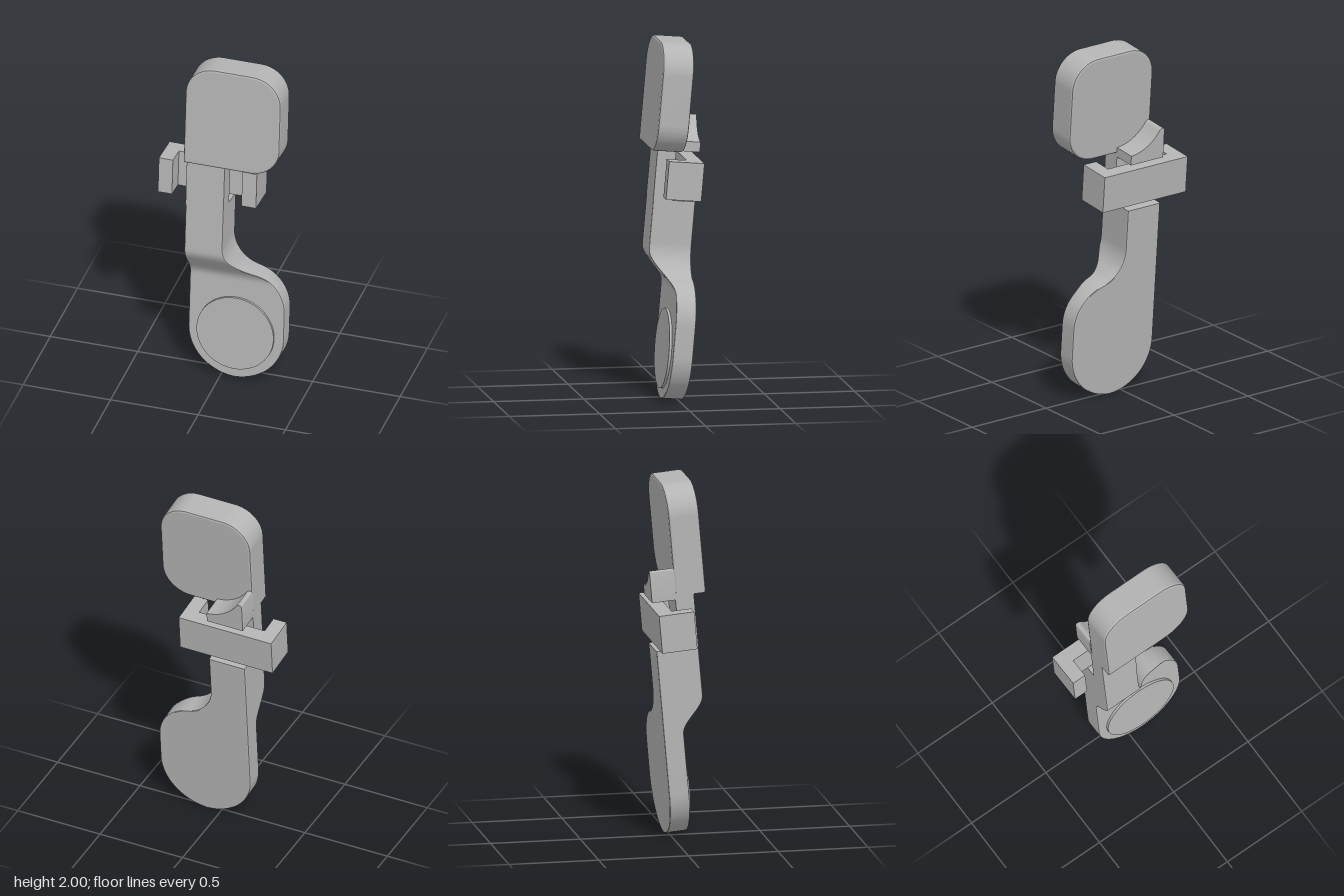
import * as THREE from 'three';
import { toCreasedNormals } from 'three/addons/utils/BufferGeometryUtils.js';

const LEFT = -0.19, RIGHT = 0.355, STEM = 0.027, BACK = -0.02, NOTCH = 0.11;

// Solid through bevelled rectangular sections; each row is [y, x0, x1, z0, z1]
function loft(rows, bevel) {
  const pos = [], idx = [], n = 12;
  for (const [y, x0, x1, z0, z1] of rows) {
    const r = Math.min(bevel, (x1 - x0) * 0.45);
    const corners = [[x1 - r, z1 - r], [x0 + r, z1 - r], [x0 + r, z0 + r], [x1 - r, z0 + r]];
    corners.forEach(([cx, cz], q) => {
      for (let k = 0; k < 3; k++) {
        const a = (q + k / 2) * Math.PI / 2;
        pos.push(cx + r * Math.cos(a), y, cz + r * Math.sin(a));
      }
    });
  }
  const top = (rows.length - 1) * n;
  for (let j = 0; j < rows.length - 1; j++) {
    for (let i = 0; i < n; i++) {
      const a = j * n + i, b = j * n + (i + 1) % n;
      idx.push(a, a + n, b, b, a + n, b + n);
    }
  }
  for (let i = 1; i < n - 1; i++) idx.push(0, i, i + 1, top, top + i + 1, top + i);
  const g = new THREE.BufferGeometry();
  g.setAttribute('position', new THREE.Float32BufferAttribute(pos, 3));
  g.setIndex(idx);
  return toCreasedNormals(g, 0.32);
}

// Paddle front steps forward into the stem along an S-curve
const frontAt = y => 0.092 + 0.123 * THREE.MathUtils.smoothstep(y, 0.605, 0.805);

// Paddle and lower stem outline: round bottom, round shoulder, hollow fillet
function lowerRows() {
  const rows = [];
  const add = (y, x0, x1) => rows.push([y, x0, x1, BACK, frontAt(y)]);
  const R = 0.2725, cx = 0.0825, cy = 0.2755, end = 1.349;
  for (let i = 0; i <= 24; i++) {
    const t = Math.PI / 2 * i / 24, w = Math.max(R * Math.sin(t), 0.002);
    add(cy - R * Math.cos(t), cx - w, cx + w);
  }
  for (let i = 0; i <= 16; i++) {
    const t = end * i / 16;
    add(0.44 + 0.23 * Math.sin(t), LEFT, 0.125 + 0.23 * Math.cos(t));
  }
  for (let i = 1; i <= 20; i++) {
    const t = end * (1 - i / 20);
    add(0.85 - 0.19 * Math.sin(t), LEFT, 0.217 - 0.19 * Math.cos(t));
  }
  add(1.085, LEFT, STEM);
  return rows;
}

function extrude(shape, depth, bevel) {
  const g = new THREE.ExtrudeGeometry(shape, {
    depth: depth - 2 * bevel, curveSegments: 16, bevelEnabled: bevel > 0,
    bevelSize: bevel, bevelThickness: bevel, bevelOffset: -bevel, bevelSegments: 2,
  });
  g.translate(0, 0, bevel);
  return toCreasedNormals(g, 0.32);
}

// Head pad: three rounded corners and one square corner
function headShape() {
  const b = 1.381, t = 1.983, r = 0.165, s = new THREE.Shape();
  s.moveTo(LEFT, b);
  s.lineTo(RIGHT - r, b);
  s.absarc(RIGHT - r, b + r, r, -Math.PI / 2, 0);
  s.absarc(RIGHT - r, t - r, r, 0, Math.PI / 2);
  s.absarc(LEFT + r, t - r, r, Math.PI / 2, Math.PI);
  s.closePath();
  return s;
}

// Rear catch: block with a hollow sloping top
function catchShape() {
  const s = new THREE.Shape();
  s.moveTo(LEFT, 1.36);
  s.lineTo(STEM, 1.36);
  s.lineTo(STEM, 1.415);
  s.quadraticCurveTo(-0.09, 1.425, -0.16, 1.53);
  s.quadraticCurveTo(-0.17, 1.539, -0.18, 1.537);
  s.quadraticCurveTo(LEFT, 1.535, LEFT, 1.522);
  s.closePath();
  return s;
}

// U-shaped clip seen from above, drawn as x and -z
function clipShape() {
  const s = new THREE.Shape();
  const pts = [[-0.36, 0.019], [-0.36, -0.177], [-0.28, -0.177], [-0.28, -0.066],
    [0.117, -0.066], [0.117, -0.177], [0.2, -0.177], [0.2, 0.019]];
  s.setFromPoints(pts.map(p => new THREE.Vector2(...p)));
  return s;
}

export function createModel() {
  const model = new THREE.Group();
  model.name = 'leverAssembly';
  const grey = new THREE.MeshStandardMaterial({ color: 0xb4b4b4 });
  grey.name = 'plain grey';

  // Everything leans back by five degrees
  const lever = new THREE.Group();
  lever.name = 'leaningLever';
  lever.rotation.x = -THREE.MathUtils.degToRad(5);
  model.add(lever);

  const add = (name, geometry, x = 0, y = 0, z = 0) => {
    const m = new THREE.Mesh(geometry, grey);
    m.name = name;
    m.position.set(x, y, z);
    lever.add(m);
    return m;
  };

  add('paddleAndStem', loft(lowerRows(), 0.008));
  add('thinUpperStem', loft([1.084, 1.4].map(y => [y, LEFT, STEM, NOTCH, 0.215]), 0.002));
  add('headPad', extrude(headShape(), 0.171, 0.012), 0, 0, 0.112);
  add('rearCatch', extrude(catchShape(), 0.135, 0), 0, 0, BACK);

  const disc = toCreasedNormals(new THREE.CylinderGeometry(0.22, 0.22, 0.03, 64), 0.5);
  add('thumbDisc', disc, 0.081, 0.277, 0.091).rotation.x = Math.PI / 2;

  const clip = extrude(clipShape(), 0.211, 0);
  clip.rotateX(-Math.PI / 2);
  add('clip', clip, 0, 1.114, 0);

  return model;
}
